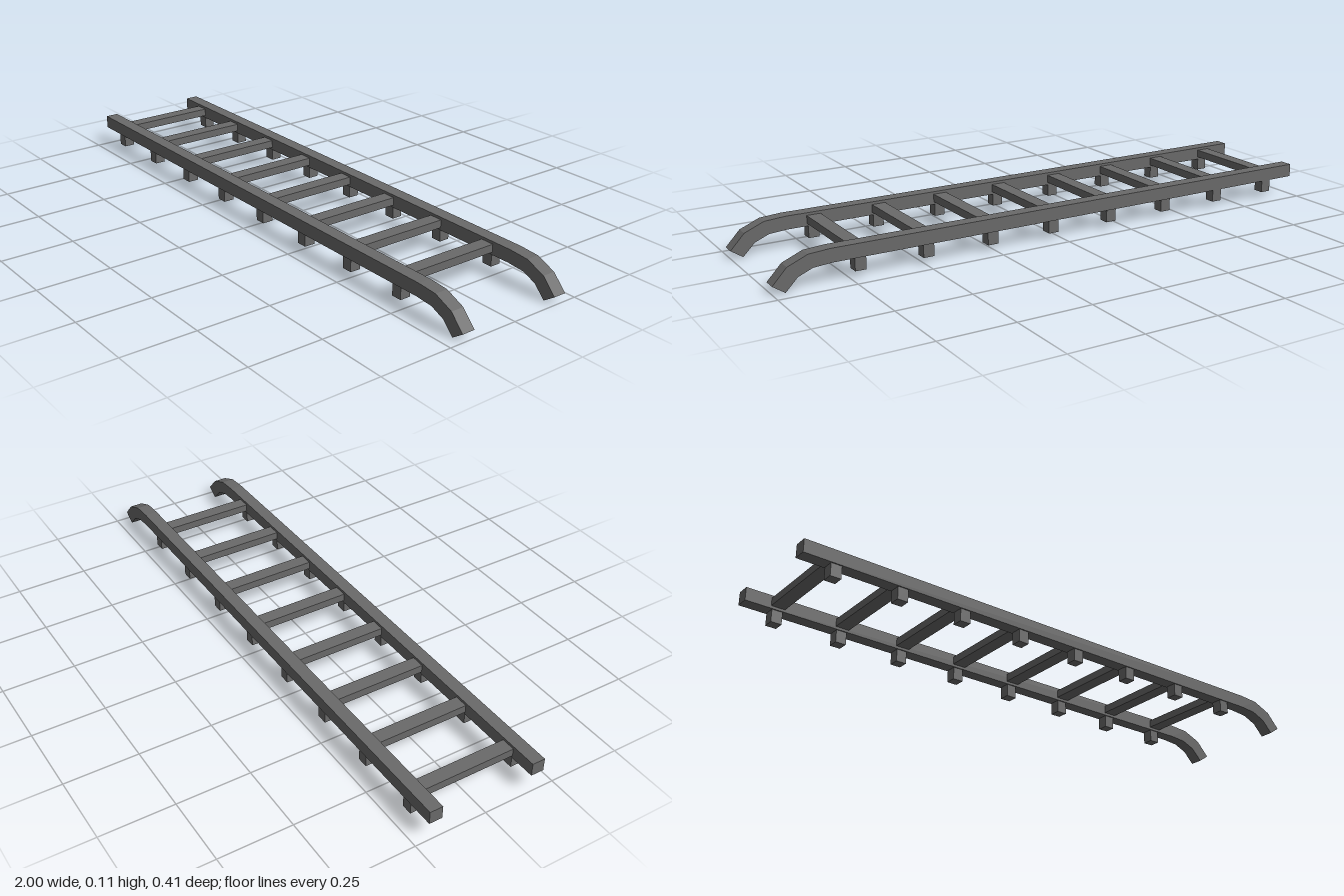
import * as THREE from 'three';

export function createModel() {
  const group = new THREE.Group();
  group.name = 'ladder';
  const steel = new THREE.MeshStandardMaterial({ color: 0x6a6a6a });
  steel.name = 'dark grey steel';

  const add = (name, geometry, x, y, z) => {
    const mesh = new THREE.Mesh(geometry, steel);
    mesh.name = name;
    mesh.position.set(x, y, z);
    group.add(mesh);
  };

  // Side rail profile: straight bar with a faceted, downward hooked end
  const railWidth = 0.045, railZ = 0.184;
  const profile = new THREE.Shape([
    [-1, 0.066], [0.81, 0.066], [0.872, 0.061], [0.92, 0.041], [0.96, 0],
    [1, 0.027], [0.952, 0.078], [0.885, 0.106], [0.815, 0.111], [-1, 0.111],
  ].map(([x, y]) => new THREE.Vector2(x, y)));
  const railGeometry = new THREE.ExtrudeGeometry(profile, { depth: railWidth, bevelEnabled: false });
  railGeometry.translate(0, 0, -railWidth / 2);

  const rungGeometry = new THREE.BoxGeometry(0.048, 0.027, 2 * railZ - railWidth);
  const footGeometry = new THREE.BoxGeometry(0.037, 0.044, 0.037);

  // Rails, one on each side
  for (const side of [-1, 1]) add(side > 0 ? 'frontRail' : 'backRail', railGeometry, 0, 0, side * railZ);

  // Eight rungs, each with a short stand-off foot under both rails
  for (let i = 0; i < 8; i++) {
    const x = -0.888 + i * 0.2295;
    add(`rung${i + 1}`, rungGeometry, x, 0.0885, 0);
    for (const side of [-1, 1]) {
      add(`${side > 0 ? 'front' : 'back'}Foot${i + 1}`, footGeometry, x, 0.045, side * railZ);
    }
  }
  return group;
}
